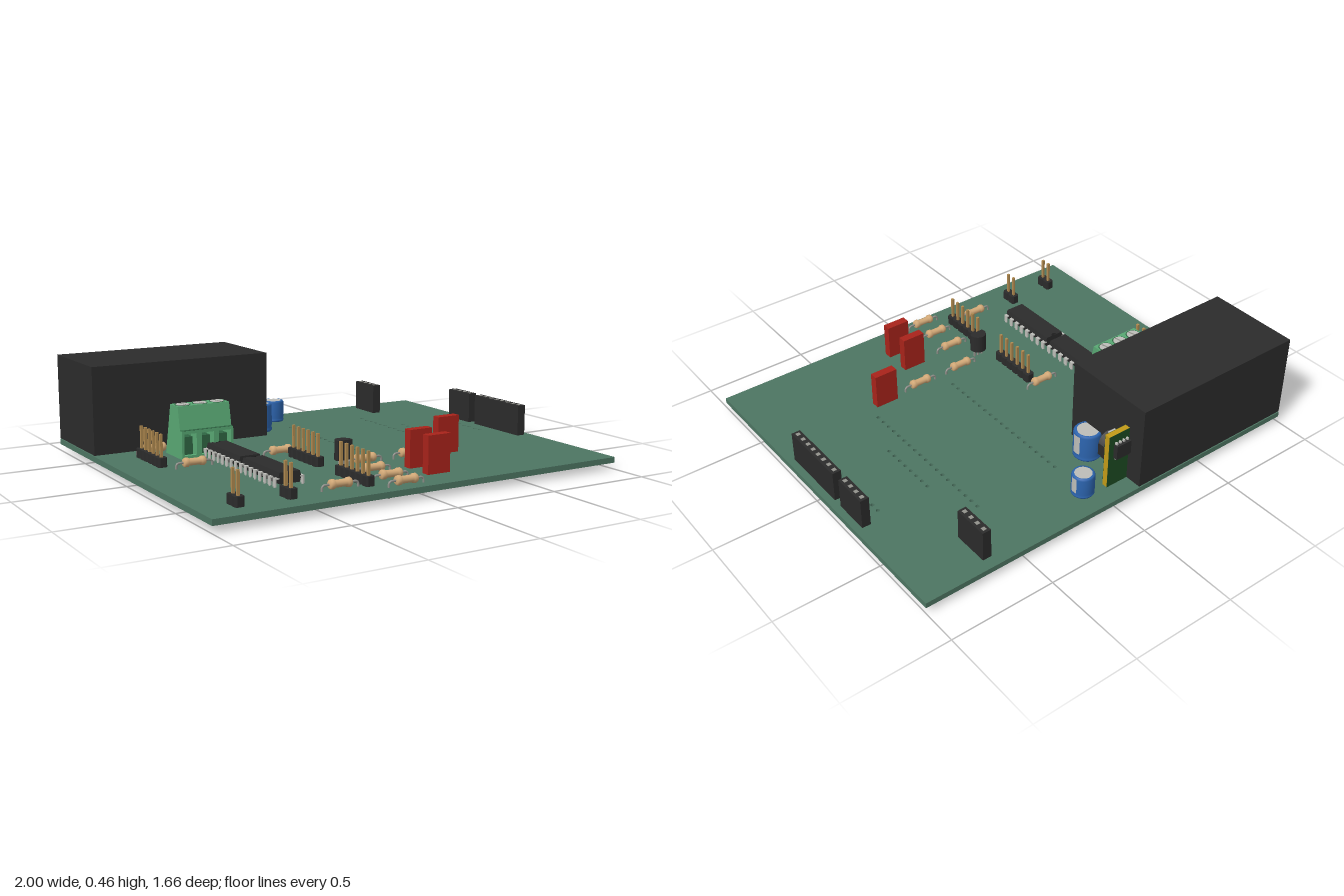
import * as THREE from 'three';

const BOARD_TOP = 0.058, BOARD_BOTTOM = 0.032, PITCH = 0.0427;

const mat = (color, side = THREE.FrontSide) => new THREE.MeshStandardMaterial({ color, side });
const M = {
  board: mat(0x4d7562), black: mat(0x2b2b2b), dark: mat(0x1c1c1c), red: mat(0xa8231a),
  blue: mat(0x2c64ae), silver: mat(0xbdbdb8), lead: mat(0x92928c), brass: mat(0xb08a50),
  tan: mat(0xd4aa78), green: mat(0x58a873), deepGreen: mat(0x2f6543), moduleGreen: mat(0x1c4a22),
  yellow: mat(0xc29a18), grey: mat(0x4a4a4a),
};

function add(parent, name, geometry, material, x = 0, y = 0, z = 0) {
  const mesh = new THREE.Mesh(geometry, material);
  mesh.name = name;
  mesh.position.set(x, y, z);
  parent.add(mesh);
  return mesh;
}

// Box given by its limits along each axis
function block(parent, name, material, x0, x1, y0, y1, z0, z1) {
  return add(parent, name, new THREE.BoxGeometry(x1 - x0, y1 - y0, z1 - z0), material,
    (x0 + x1) / 2, (y0 + y1) / 2, (z0 + z1) / 2);
}

function pin(parent, material, x, z, y0, y1, w = 0.011) {
  return block(parent, 'pin', material, x - w / 2, x + w / 2, y0, y1, z - w / 2, z + w / 2);
}

function part(parent, name, x = 0, z = 0) {
  const g = new THREE.Group();
  g.name = name;
  g.position.set(x, 0, z);
  parent.add(g);
  return g;
}

function circuitBoard(parent) {
  const shape = new THREE.Shape();
  shape.moveTo(-1, -0.83).lineTo(1, -0.83).lineTo(1, 0.83).lineTo(-1, 0.83).closePath();
  // Rows of empty socket holes: x, first z, count
  for (const [x, z0, n] of [[0.08, -0.5, 19], [0.505, -0.5, 19], [0.6, -0.265, 8], [0.855, -0.265, 8]]) {
    for (let i = 0; i < n; i++) {
      shape.holes.push(new THREE.Path().absarc(x, -(z0 + i * PITCH), 0.009, 0, Math.PI * 2, true));
    }
  }
  const geo = new THREE.ExtrudeGeometry(shape, { depth: BOARD_TOP - BOARD_BOTTOM, bevelEnabled: false, curveSegments: 8 });
  geo.rotateX(-Math.PI / 2);
  add(parent, 'circuitBoard', geo, M.board, 0, BOARD_BOTTOM, 0);
}

function resistor(parent, x, z) {
  const g = part(parent, 'resistor', x, z);
  const profile = [[0, -0.053], [0.016, -0.052], [0.021, -0.045], [0.021, -0.031], [0.016, -0.024],
    [0.016, 0.024], [0.021, 0.031], [0.021, 0.045], [0.016, 0.052], [0, 0.053]];
  const body = new THREE.LatheGeometry(profile.map(p => new THREE.Vector2(...p)), 16);
  add(g, 'resistorBody', body.rotateZ(Math.PI / 2), M.tan, 0, 0.083, 0);
  for (const s of [-1, 1]) {
    const path = new THREE.CatmullRomCurve3([[0.045, 0.083], [0.076, 0.083], [0.0855, 0.073], [0.0855, 0.012]]
      .map(([a, y]) => new THREE.Vector3(s * a, y, 0)), false, 'catmullrom', 0.2);
    add(g, 'resistorLead', new THREE.TubeGeometry(path, 14, 0.005, 6), M.lead);
  }
}

function filmCapacitor(parent, x, z) {
  const g = part(parent, 'filmCapacitor', x, z);
  block(g, 'capacitorCase', M.red, -0.057, 0.057, BOARD_TOP, 0.228, -0.02, 0.02);
  for (const s of [-1, 1]) pin(g, M.lead, s * 0.043, 0, 0.012, 0.06, 0.009);
}

function electrolytic(parent, x, z, r, top) {
  const g = part(parent, 'electrolyticCapacitor', x, z);
  const h = top - BOARD_TOP;
  const profile = [[0, 0], [r * 0.92, 0], [r, 0.006], [r, h * 0.1], [r * 0.95, h * 0.16], [r, h * 0.23],
    [r, h - 0.008], [r * 0.9, h], [r * 0.76, h]];
  add(g, 'capacitorSleeve', new THREE.LatheGeometry(profile.map(p => new THREE.Vector2(...p)), 32), M.blue, 0, BOARD_TOP, 0);
  add(g, 'capacitorTop', new THREE.CylinderGeometry(r * 0.77, r * 0.77, 0.004, 32), M.silver, 0, top - 0.003, 0);
  // Polarity stripe on the side
  add(g, 'polarityStripe', new THREE.CylinderGeometry(r * 1.01, r * 1.01, h * 0.7, 8, 1, true, Math.PI / 2 - 0.3, 0.6),
    M.silver, 0, BOARD_TOP + h * 0.6, 0);
  for (const s of [-1, 1]) pin(g, M.lead, s * 0.022, 0, 0.012, 0.06, 0.009);
}

// Row of pins along z; a tall header is a closed socket strip
function header(parent, x, z, n, socket) {
  const g = part(parent, socket ? 'socketHeader' : 'pinHeader', x, z);
  for (let i = 0; i < n; i++) {
    const pz = (i - (n - 1) / 2) * PITCH, e = PITCH / 2;
    if (socket) {
      block(g, 'socketHole', M.lead, -0.009, 0.009, 0.2, 0.2055, pz - 0.009, pz + 0.009);
      pin(g, M.lead, 0, pz, 0.01, 0.06);
    } else {
      const shape = new THREE.Shape();
      const c = 0.008;
      shape.moveTo(-e + c, -e).lineTo(e - c, -e).lineTo(e, -e + c).lineTo(e, e - c)
        .lineTo(e - c, e).lineTo(-e + c, e).lineTo(-e, e - c).lineTo(-e, -e + c).closePath();
      const geo = new THREE.ExtrudeGeometry(shape, { depth: 0.042, bevelEnabled: false }).rotateX(-Math.PI / 2);
      add(g, 'headerBase', geo, M.black, 0, BOARD_TOP, pz);
      pin(g, M.brass, 0, pz, 0.008, 0.203, 0.012);
    }
  }
  if (socket) block(g, 'socketBody', M.black, -0.021, 0.021, BOARD_TOP, 0.204, -n * PITCH / 2, n * PITCH / 2);
}

function chip(parent, x, z) {
  const g = part(parent, 'chip', x, z);
  // Moulded body with drafted sides
  const s = new THREE.Shape();
  s.moveTo(-0.047, 0.072).lineTo(0.047, 0.072).lineTo(0.054, 0.096).lineTo(0.047, 0.121).lineTo(-0.047, 0.121).lineTo(-0.054, 0.096).closePath();
  const geo = new THREE.ExtrudeGeometry(s, { depth: 0.32, bevelEnabled: false });
  add(g, 'chipBody', geo, M.black, 0, 0, -0.16);
  add(g, 'chipNotch', new THREE.CylinderGeometry(0.014, 0.014, 0.002, 16, 1, false, -Math.PI / 2, Math.PI), M.dark, 0, 0.1212, -0.16);
  for (let i = 0; i < 8; i++) {
    const pz = (i - 3.5) * PITCH;
    for (const d of [-1, 1]) {
      add(g, 'chipShoulder', new THREE.BoxGeometry(0.02, 0.006, 0.022), M.silver, d * 0.057, 0.096, pz);
      add(g, 'chipShoulder', new THREE.BoxGeometry(0.005, 0.036, 0.022), M.silver, d * 0.065, 0.081, pz);
      add(g, 'chipLeg', new THREE.BoxGeometry(0.005, 0.058, 0.009), M.silver, d * 0.065, 0.039, pz);
    }
  }
}

function terminalBlock(parent) {
  const g = part(parent, 'terminalBlock', -0.563, 0);
  const W = 0.254, pitch = 0.085;
  // Side profile as [z, y], extruded along x
  const slab = (name, pts, x0, x1) => {
    const s = new THREE.Shape(pts.map(([z, y]) => new THREE.Vector2(-z, y)));
    const geo = new THREE.ExtrudeGeometry(s, { depth: x1 - x0, bevelEnabled: false }).rotateY(Math.PI / 2);
    add(g, name, geo, M.green, x0, 0, 0);
  };
  const back = [[-0.288, BOARD_TOP], [-0.23, 0.293], [-0.15, 0.293], [-0.13, 0.187]];
  slab('terminalBody', [...back, [-0.19, 0.187], [-0.19, BOARD_TOP]], -W / 2, W / 2);
  for (let i = 0; i < 4; i++) {
    const x = (i - 1.5) * (W - 0.012) / 3;
    slab('terminalRib', [...back, [-0.13, BOARD_TOP]], x - 0.006, x + 0.006);
  }
  // Front plate with wire openings
  const plate = new THREE.Shape();
  plate.moveTo(-W / 2, BOARD_TOP).lineTo(W / 2, BOARD_TOP).lineTo(W / 2, 0.187).lineTo(-W / 2, 0.187).closePath();
  for (let i = -1; i <= 1; i++) {
    const x = i * pitch;
    plate.holes.push(new THREE.Path().moveTo(x - 0.03, 0.075).lineTo(x - 0.03, 0.173).lineTo(x + 0.03, 0.173).lineTo(x + 0.03, 0.075).closePath());
    block(g, 'wireClamp', M.deepGreen, x - 0.021, x + 0.021, 0.062, 0.155, -0.19, -0.135);
    // Clamp screw with a slot
    add(g, 'screwWell', new THREE.CylinderGeometry(0.036, 0.036, 0.004, 24), M.deepGreen, x, 0.292, -0.19);
    add(g, 'screw', new THREE.CylinderGeometry(0.031, 0.031, 0.006, 24), M.silver, x, 0.2925, -0.19);
    add(g, 'screwSlot', new THREE.BoxGeometry(0.007, 0.002, 0.056), M.lead, x, 0.2955, -0.19).rotation.y = 0.2;
    pin(g, M.lead, x, -0.2, 0.006, 0.06, 0.015);
  }
  add(g, 'frontPlate', new THREE.ExtrudeGeometry(plate, { depth: 0.02, bevelEnabled: false }), M.green, 0, 0, -0.131);
  block(g, 'frontLedge', M.deepGreen, -W / 2, W / 2, 0.184, 0.188, -0.132, -0.111);
}

function transistor(parent, x, z) {
  const g = part(parent, 'transistor', x, z);
  const s = new THREE.Shape();
  s.absarc(0, 0, 0.039, -0.4, Math.PI + 0.4, false);
  s.closePath();
  const geo = new THREE.ExtrudeGeometry(s, { depth: 0.088, bevelEnabled: false, curveSegments: 20 }).rotateX(-Math.PI / 2);
  add(g, 'transistorBody', geo, M.black, 0, 0.098, 0);
  for (let i = -1; i <= 1; i++) pin(g, M.lead, i * 0.021, 0, 0.012, 0.1, 0.008);
}

function powerSupply(parent) {
  const g = part(parent, 'powerSupply');
  block(g, 'powerSupplyCase', M.black, -1, -0.122, BOARD_TOP + 0.004, 0.465, -0.828, -0.375);
  for (const [x, z] of [[-0.94, -0.42], [-0.94, -0.61], [-0.19, -0.76], [-0.19, -0.44]]) pin(g, M.lead, x, z, 0.002, 0.07, 0.016);
}

// Small upright converter board beside the power supply
function converter(parent) {
  const g = part(parent, 'converterModule');
  block(g, 'converterBoard', M.yellow, -0.22, -0.008, BOARD_TOP + 0.003, 0.335, -0.744, -0.718);
  block(g, 'converterFace', M.moduleGreen, -0.22, -0.0085, BOARD_TOP + 0.003, 0.3345, -0.7455, -0.7165);
  const coil = new THREE.CylinderGeometry(0.047, 0.047, 0.065, 24).rotateX(Math.PI / 2);
  add(g, 'coil', coil, M.grey, -0.08, 0.234, -0.685);
  block(g, 'coilBase', M.black, -0.127, -0.033, 0.175, 0.235, -0.717, -0.65);
  block(g, 'coilContact', M.silver, -0.115, -0.075, 0.25, 0.282, -0.708, -0.66);
  block(g, 'controllerChip', M.black, -0.115, -0.035, 0.215, 0.285, -0.768, -0.745);
  for (let i = 0; i < 4; i++) {
    const x = -0.105 + i * 0.02;
    block(g, 'chipLead', M.silver, x - 0.004, x + 0.004, 0.205, 0.295, -0.757, -0.745);
  }
  for (let i = 0; i < 4; i++) pin(g, M.lead, -0.2 + i * 0.055, -0.73, 0.008, 0.07, 0.012);
}

export function createModel() {
  const model = new THREE.Group();
  model.name = 'circuitBoardAssembly';
  circuitBoard(model);
  powerSupply(model);
  converter(model);
  terminalBlock(model);
  transistor(model, -0.162, 0.393);
  for (const z of [0.04, 0.388]) chip(model, -0.513, z);
  electrolytic(model, -0.093, -0.515, 0.065, 0.195);
  electrolytic(model, 0.09, -0.7, 0.052, 0.165);
  for (const [x, z] of [[0.41, 0.355], [0.14, 0.523], [0.14, 0.658]]) filmCapacitor(model, x, z);
  for (const [x, z] of [[-0.735, -0.315], [-0.43, -0.315], [-0.7, 0.035], [-0.265, 0.02], [-0.027, 0.355],
    [0.21, 0.355], [-0.093, 0.523], [-0.093, 0.658], [-0.36, 0.69], [-0.093, 0.772]]) resistor(model, x, z);
  for (const [x, z, n] of [[-0.82, -0.15, 6], [-0.23, 0.187, 6], [-0.23, 0.592, 6], [-0.833, 0.692, 2], [-0.6, 0.692, 2]]) header(model, x, z, n, false);
  for (const [x, z, n] of [[0.66, -0.69, 4], [0.945, -0.233, 4], [0.945, 0.07, 8]]) header(model, x, z, n, true);
  return model;
}
